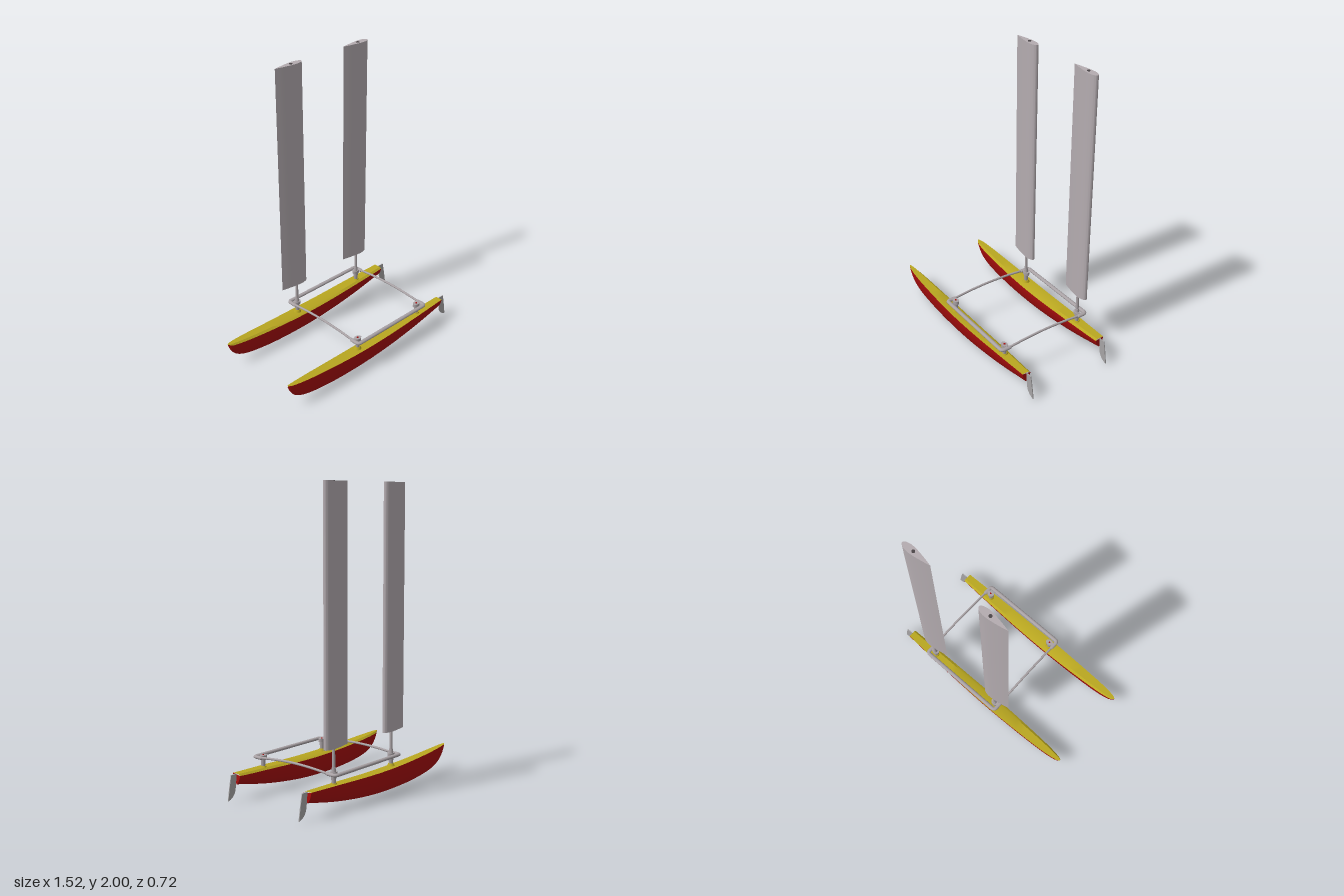
import * as THREE from 'three';
import { toCreasedNormals } from 'three/addons/utils/BufferGeometryUtils.js';

const V = (x, y, z) => new THREE.Vector3(x, y, z);
const mat = (name, color, side = THREE.FrontSide) => {
  const m = new THREE.MeshStandardMaterial({ color, side });
  m.name = name;
  return m;
};
const HULL_Z = 0.3, MAST_X = [-0.14, 0.44], BEAM_X = [-0.175, 0.475], RAIL_Y = 0.236;

// hull stations: x, keel height, sheer height, half beam
const STATIONS = [
  [-0.76, 0.182, 0.19, 0.003], [-0.74, 0.135, 0.187, 0.014], [-0.70, 0.085, 0.184, 0.022],
  [-0.62, 0.045, 0.178, 0.031], [-0.42, 0.012, 0.166, 0.041], [-0.15, 0.001, 0.157, 0.048],
  [0.1, 0.011, 0.157, 0.047], [0.4, 0.049, 0.167, 0.041], [0.68, 0.106, 0.176, 0.031],
];
// half section: fraction of beam, fraction of depth, from sheer to keel
const SECTION = [[1, 1], [0.97, 0.85], [0.82, 0.62], [0.58, 0.34], [0.32, 0.12], [0, 0]];

// skin over rows of points; flip turns the faces around for the mirrored hull
function loft(rows, flip) {
  const n = rows[0].length, index = [];
  for (let i = 0; i < rows.length - 1; i++) {
    for (let j = 0; j < n - 1; j++) {
      const a = i * n + j, b = a + 1, c = a + n, d = c + 1;
      if (flip) index.push(a, c, b, b, c, d);
      else index.push(a, b, c, b, d, c);
    }
  }
  const g = new THREE.BufferGeometry().setFromPoints(rows.flat());
  g.setIndex(index);
  return toCreasedNormals(g, 0.6);
}

export function createModel() {
  const model = new THREE.Group();
  const red = mat('hull red', 0xa80d0d);
  const yellow = mat('deck yellow', 0xb9a720);
  const sailGrey = mat('sail grey', 0xb4acb0);
  const metal = mat('frame grey', 0xa9a2a5);
  const rudderGrey = mat('rudder grey', 0xa6a4a5);
  const dark = mat('dark fitting', 0x4a4547);

  const add = (name, geo, material, x = 0, y = 0, z = 0, parent = model) => {
    const m = new THREE.Mesh(geo, material);
    m.name = name;
    m.position.set(x, y, z);
    parent.add(m);
    return m;
  };

  // smooth curves through the stations
  const lineCurve = new THREE.CatmullRomCurve3(STATIONS.map(s => V(s[0], s[1], s[2])), false, 'centripetal');
  const beamCurve = new THREE.CatmullRomCurve3(STATIONS.map(s => V(s[0], s[3], 0)), false, 'centripetal');
  const beamAt = x => {
    let lo = 0, hi = 1;
    for (let k = 0; k < 24; k++) {
      const mid = (lo + hi) / 2;
      if (beamCurve.getPoint(mid).x < x) lo = mid; else hi = mid;
    }
    return beamCurve.getPoint(lo).y;
  };

  for (const s of [1, -1]) {
    const hull = new THREE.Group();
    hull.name = s > 0 ? 'frontHull' : 'rearHull';
    hull.position.z = s * HULL_Z;
    model.add(hull);

    // hull skin and deck; the deck has a bevel along its inner edge
    const skin = [], deck = [];
    for (let i = 0; i <= 48; i++) {
      const { x, y: keel, z: sheer } = lineCurve.getPoint(i / 48);
      const w = beamAt(x), depth = sheer - keel;
      const drop = Math.min(0.012, depth * 0.15);
      const at = ([u, v], side, top) => V(x, keel + v * (top - keel), s * side * u * w);
      const outer = SECTION.map(p => at(p, 1, sheer));
      const inner = SECTION.slice(0, -1).reverse().map(p => at(p, -1, sheer - drop));
      skin.push([...outer, ...inner]);
      deck.push([V(x, sheer - drop, -s * w), V(x, sheer, -s * w * 0.6), V(x, sheer, s * w)]);
    }
    add('hullSkin', loft(skin, s < 0), red, 0, 0, 0, hull);
    add('deck', loft(deck, s < 0), yellow, 0, 0, 0, hull);
    const stern = skin[skin.length - 1];
    const rim = [...stern, stern[0]];
    add('transom', loft([rim, rim.map(() => V(0.68, 0.15, 0))], s < 0), red, 0, 0, 0, hull);

    // rudder blade behind the transom
    const blade = new THREE.Shape();
    blade.moveTo(0.683, 0.176);
    blade.lineTo(0.728, 0.176);
    blade.lineTo(0.743, 0.1);
    blade.lineTo(0.757, 0.012);
    blade.quadraticCurveTo(0.71, 0.025, 0.696, 0.065);
    blade.quadraticCurveTo(0.688, 0.1, 0.683, 0.176);
    add('rudder', new THREE.ExtrudeGeometry(blade, { depth: 0.006, bevelEnabled: false }),
      rudderGrey, 0, 0, -0.003, hull);

    // pedestals carrying the frame
    for (const x of MAST_X) {
      add('pedestalFoot', new THREE.CylinderGeometry(0.018, 0.026, 0.016, 20), yellow, x, 0.168, 0, hull);
      add('pedestal', new THREE.CylinderGeometry(0.018, 0.013, 0.064, 20), metal, x, 0.202, 0, hull);
      const collar = add('pedestalCollar', new THREE.CylinderGeometry(0.02, 0.02, 0.022, 24), metal, x, RAIL_Y, 0, hull);
      collar.scale.x = 1.4;
      add('pedestalBolt', new THREE.CylinderGeometry(0.006, 0.006, 0.006, 12), red, x, RAIL_Y + 0.012, 0, hull);
    }

    // side rail with rounded corners and short return legs
    const [x0, x1] = BEAM_X, zo = s * 0.345, zi = s * 0.285, r = 0.022;
    const path = new THREE.CurvePath();
    path.add(new THREE.LineCurve3(V(x0, 0, zi), V(x0, 0, zo - s * r)));
    path.add(new THREE.QuadraticBezierCurve3(V(x0, 0, zo - s * r), V(x0, 0, zo), V(x0 + r, 0, zo)));
    path.add(new THREE.LineCurve3(V(x0 + r, 0, zo), V(x1 - r, 0, zo)));
    path.add(new THREE.QuadraticBezierCurve3(V(x1 - r, 0, zo), V(x1, 0, zo), V(x1, 0, zo - s * r)));
    path.add(new THREE.LineCurve3(V(x1, 0, zo - s * r), V(x1, 0, zi)));
    add('sideRail', new THREE.TubeGeometry(path, 160, 0.014, 14), metal, 0, RAIL_Y, 0).scale.y = 0.8;
    for (const x of BEAM_X) {
      add('railEnd', new THREE.SphereGeometry(0.014, 14, 10), metal, x, RAIL_Y, zi).scale.y = 0.8;
    }
  }

  // arched cross beams
  for (const x of BEAM_X) {
    const arch = new THREE.CatmullRomCurve3(
      [V(x, 0.236, -0.3), V(x, 0.249, -0.15), V(x, 0.254, 0), V(x, 0.249, 0.15), V(x, 0.236, 0.3)]);
    add('crossBeam', new THREE.TubeGeometry(arch, 32, 0.008, 12), metal);
  }

  // wing sails on masts, sharp edge towards the bow
  const half = [[-0.08, 0.011], [-0.02, 0.021], [0.03, 0.025], [0.065, 0.019], [0.081, 0.01]];
  const foil = new THREE.Shape();
  foil.moveTo(-0.13, 0);
  foil.splineThru([...half, [0.086, 0], ...half.map(([x, y]) => [x, -y]).reverse(), [-0.13, 0]]
    .map(([x, y]) => new THREE.Vector2(x, y)));
  for (const x of MAST_X) {
    const wing = new THREE.ExtrudeGeometry(foil, { depth: 1.603, bevelEnabled: false, curveSegments: 6 });
    wing.rotateX(-Math.PI / 2);
    add('wingSail', toCreasedNormals(wing, 0.6), sailGrey, x, 0.395, -HULL_Z);
    add('mast', new THREE.CylinderGeometry(0.009, 0.011, 0.17, 18), metal, x, 0.325, -HULL_Z);
    add('mastSocket', new THREE.CylinderGeometry(0.012, 0.015, 0.03, 18), metal, x, 0.258, -HULL_Z);
    add('mastTop', new THREE.CylinderGeometry(0.011, 0.011, 0.004, 18), dark, x, 1.998, -HULL_Z);
  }
  return model;
}
